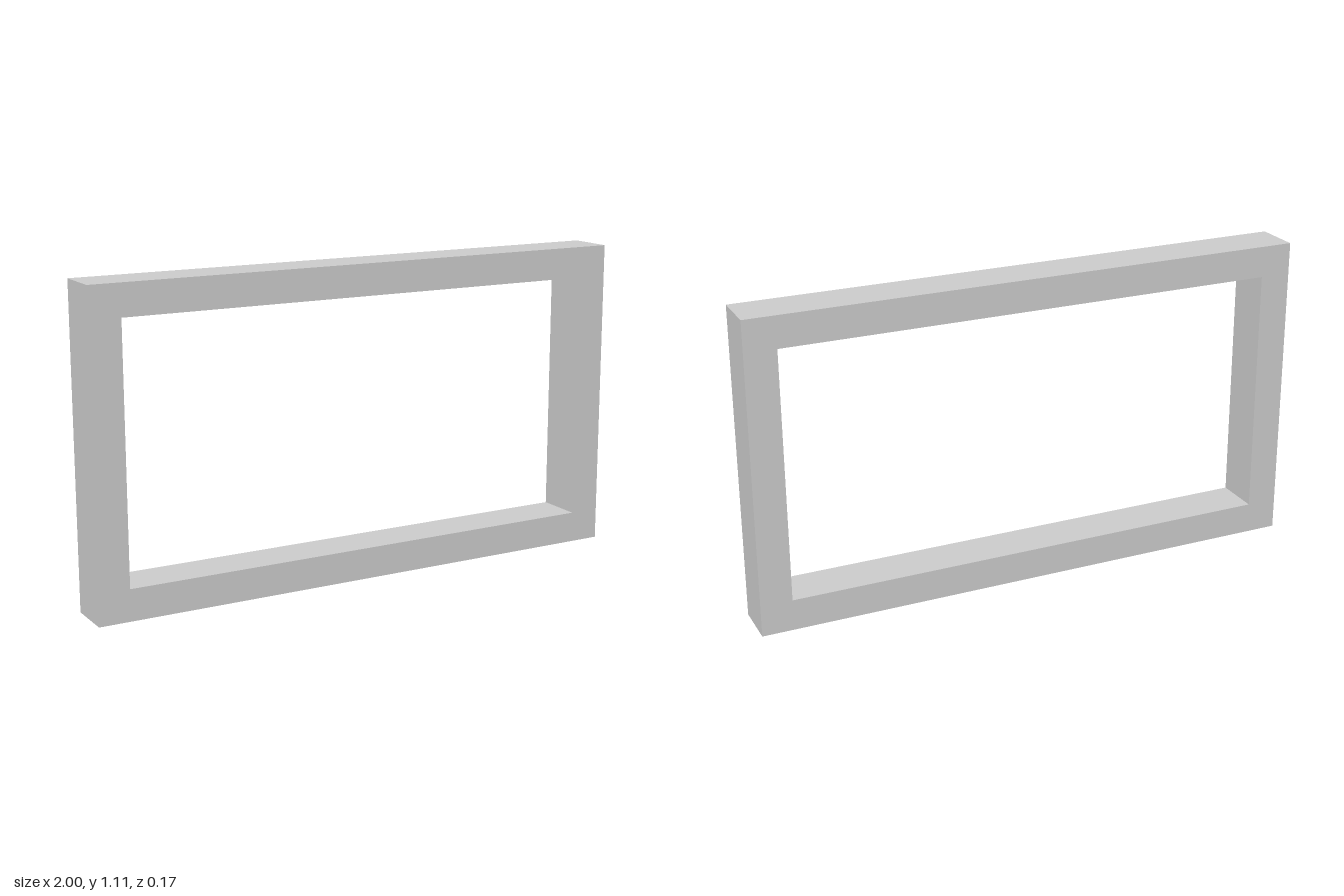
import * as THREE from 'three';

const WIDTH = 2, HEIGHT = 1.111, BAR = 0.111, DEPTH = 0.167;

// Adds a rectangle, centred on x and resting at y, to a shape or path
function rectangle(path, width, bottom, top) {
  const h = width / 2;
  path.moveTo(-h, bottom);
  path.lineTo(h, bottom);
  path.lineTo(h, top);
  path.lineTo(-h, top);
  path.closePath();
  return path;
}

export function createModel() {
  const group = new THREE.Group();
  group.name = 'rectangularFrame';

  // Outer outline with the rectangular opening
  const outline = rectangle(new THREE.Shape(), WIDTH, 0, HEIGHT);
  outline.holes.push(rectangle(new THREE.Path(), WIDTH - 2 * BAR, BAR, HEIGHT - BAR));

  const geometry = new THREE.ExtrudeGeometry(outline, { depth: DEPTH, bevelEnabled: false });
  geometry.translate(0, 0, -DEPTH / 2);

  const frame = new THREE.Mesh(
    geometry,
    new THREE.MeshStandardMaterial({ color: 0xcccccc, flatShading: true })
  );
  frame.name = 'frame';
  group.add(frame);
  return group;
}
